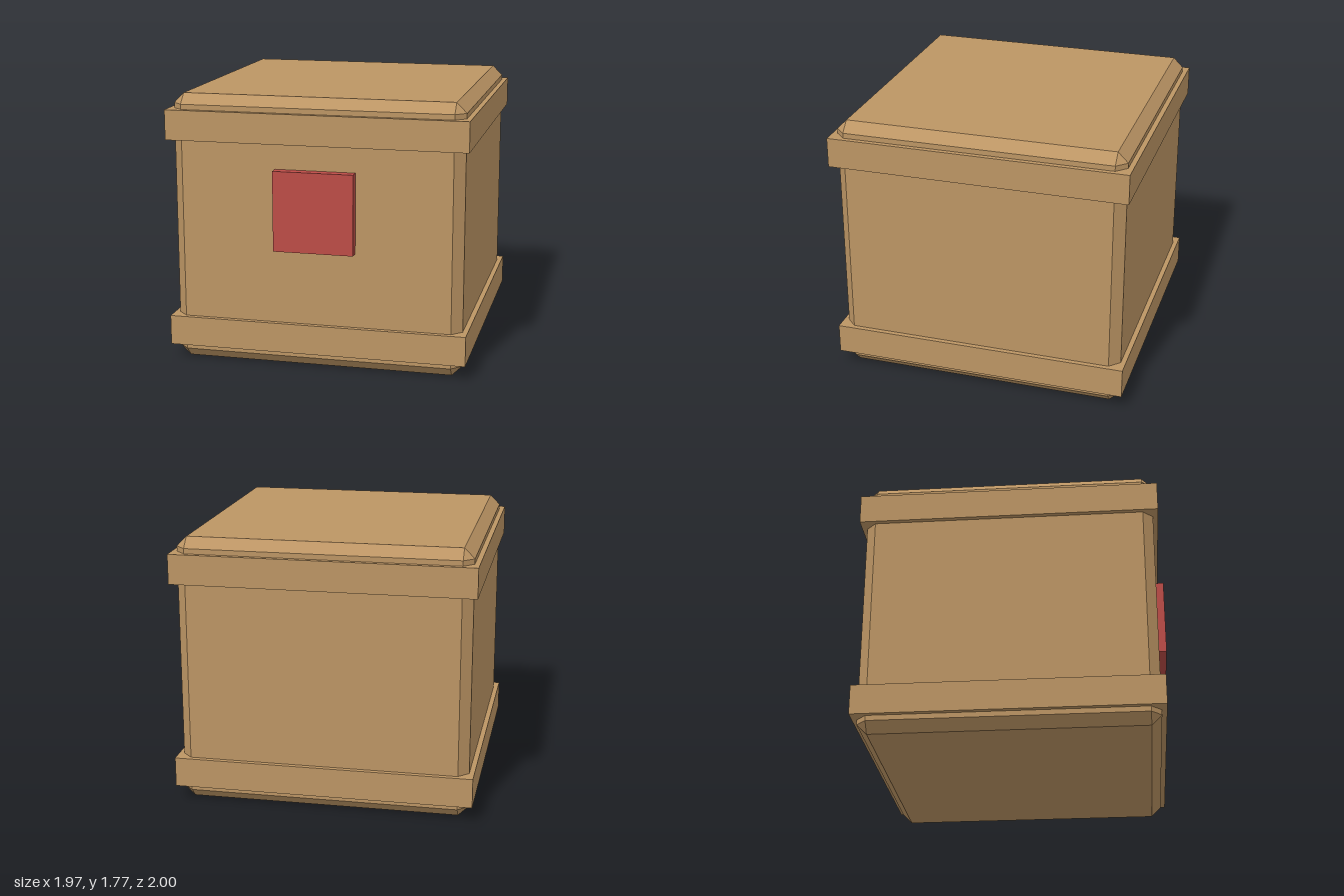
import * as THREE from 'three';
import { ConvexGeometry } from 'three/addons/geometries/ConvexGeometry.js';

// Box with every edge and corner cut by c: three points around each corner
function chamferedBox(w, h, d, c) {
  const half = [w / 2, h / 2, d / 2];
  const points = [];
  for (const sx of [-1, 1]) for (const sy of [-1, 1]) for (const sz of [-1, 1]) {
    for (let face = 0; face < 3; face++) {
      const p = half.map((v, i) => (i === face ? v : v - c));
      points.push(new THREE.Vector3(sx * p[0], sy * p[1], sz * p[2]));
    }
  }
  return new ConvexGeometry(points);
}

export function createModel() {
  const model = new THREE.Group();
  model.name = 'crate';
  const wood = new THREE.MeshStandardMaterial({ color: 0xbc9564 });
  wood.name = 'tan wood';
  const red = new THREE.MeshStandardMaterial({ color: 0xbc4c47 });
  red.name = 'red';

  const centreZ = -0.016;
  const add = (name, geometry, material, y, z) => {
    const mesh = new THREE.Mesh(geometry, material);
    mesh.name = name;
    mesh.position.set(0, y, z);
    model.add(mesh);
  };

  // Chamfered body
  add('body', chamferedBox(1.9, 1.772, 1.9, 0.066), wood, 0.886, centreZ);

  // Bands around the bottom and top
  for (const [name, y] of [['lowerBand', 0.198], ['upperBand', 1.574]]) {
    add(name, new THREE.BoxGeometry(1.966, 0.196, 1.966), wood, y, centreZ);
  }

  // Square plate on the front
  add('frontPlate', new THREE.BoxGeometry(0.524, 0.524, 0.08), red, 1.05, 0.96);

  return model;
}
